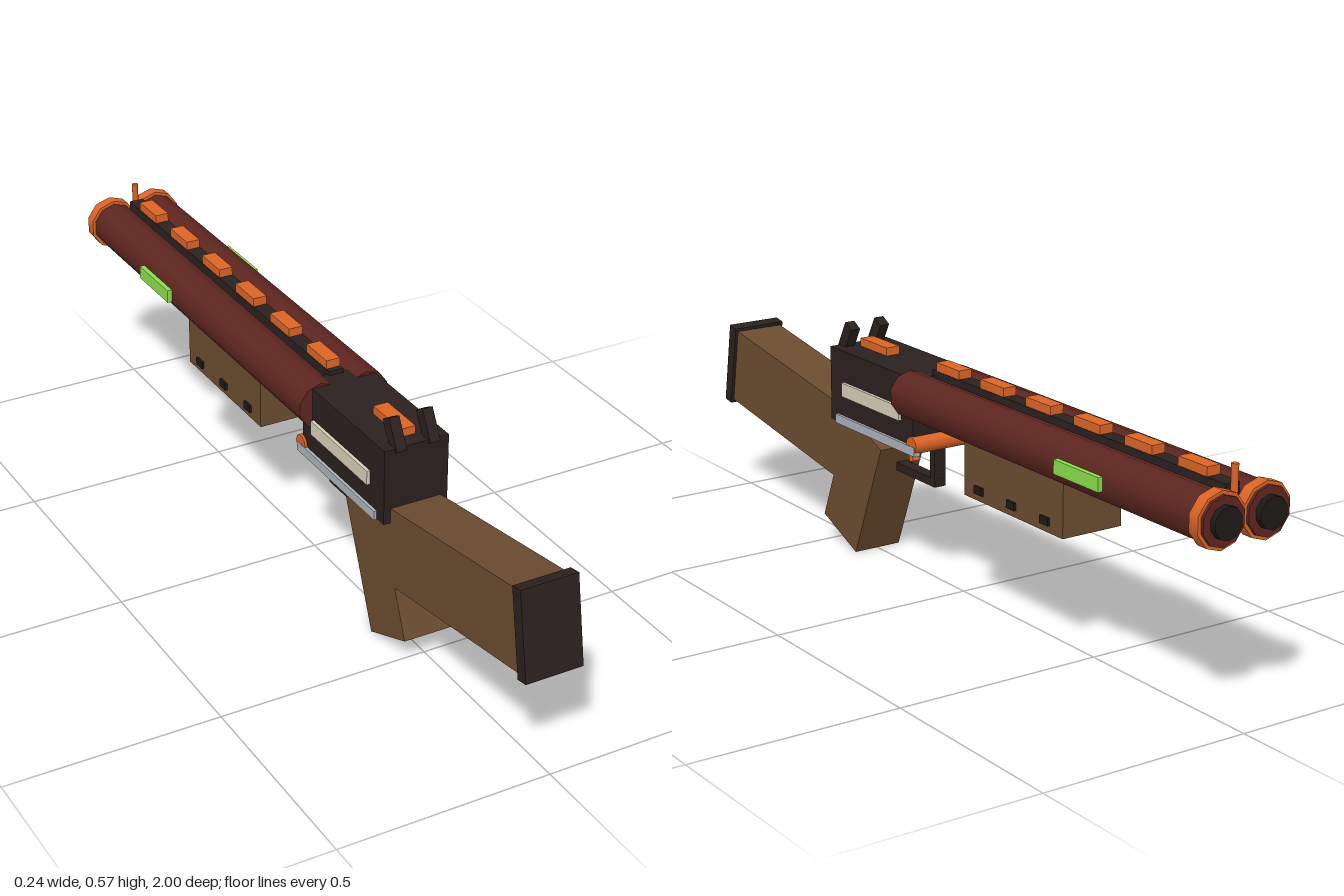
import * as THREE from 'three';

const mat = (color) => new THREE.MeshStandardMaterial({ color });

export function createModel() {
  const root = new THREE.Group();
  const red = mat(0x5e2620), wood = mat(0x6b4c2f), dark = mat(0x2a211f), black = mat(0x1e1917);
  const orange = mat(0xdd6526), green = mat(0x8be04a), cream = mat(0xd8cfba), grey = mat(0xadb3bc);

  const add = (name, geometry, material, x, y, z, tilt = 0) => {
    const mesh = new THREE.Mesh(geometry, material);
    mesh.name = name;
    mesh.position.set(x, y, z);
    mesh.rotation.x = tilt;
    root.add(mesh);
    return mesh;
  };
  const box = (name, m, w, h, d, x, y, z, tilt) =>
    add(name, new THREE.BoxGeometry(w, h, d), m, x, y, z, tilt);
  // Cylinder along z, given by its two end positions
  const tube = (name, m, r, z0, z1, x, y) =>
    add(name, new THREE.CylinderGeometry(r, r, z1 - z0, 10).rotateX(Math.PI / 2), m, x, y, (z0 + z1) / 2);

  // Stock, butt plate and grip
  box('stock', wood, 0.124, 0.19, 0.6, 0, 0.297, 0.657, -0.155);
  box('buttPlate', dark, 0.138, 0.207, 0.03, 0, 0.345, 0.965, -0.17);
  box('grip', wood, 0.124, 0.312, 0.156, 0, 0.175, 0.388, -0.39);

  // Receiver with top insert and hinge pin
  box('receiver', dark, 0.158, 0.18, 0.36, 0, 0.415, 0.27);
  box('topInsert', orange, 0.036, 0.025, 0.117, 0, 0.512, 0.354);
  add('hingePin', new THREE.CylinderGeometry(0.021, 0.021, 0.17, 10).rotateZ(Math.PI / 2), orange, 0, 0.347, 0.09);

  // Mirrored pairs: barrels, side panels and rear sights
  for (const s of [-1, 1]) {
    const x = s * 0.058, y = 0.458;
    tube('barrel', red, 0.055, -0.985, 0.135, x, y);
    tube('muzzleRing', orange, 0.063, -0.978, -0.95, x, y);
    tube('bore', black, 0.036, -1, -0.97, x, y);
    box('sideLight', green, 0.02, 0.032, 0.154, s * 0.112, 0.459, -0.587);
    box('sidePanel', cream, 0.016, 0.034, 0.25, s * 0.079, 0.412, 0.265);
    box('sideRail', grey, 0.016, 0.022, 0.345, s * 0.078, 0.334, 0.248);
    box('rearSight', dark, 0.025, 0.075, 0.03, s * 0.041, 0.526, 0.427, -0.5);
  }

  // Ribs between the barrels, studs and front sight
  box('topRib', dark, 0.036, 0.035, 1.04, 0, 0.498, -0.42);
  box('bottomRib', dark, 0.036, 0.03, 0.95, 0, 0.415, -0.465);
  for (let i = 0; i < 6; i++) box('ribStud', orange, 0.034, 0.022, 0.092, 0, 0.525, 0.04 - i * 0.175);
  add('frontSight', new THREE.CylinderGeometry(0.008, 0.008, 0.06, 8), orange, 0, 0.528, -0.945);

  // Fore-end with vents through both sides
  box('foreEnd', wood, 0.156, 0.137, 0.37, 0, 0.352, -0.302);
  for (let i = 0; i < 3; i++) box('vent', black, 0.168, 0.018, 0.03, 0, 0.309, -0.177 - i * 0.124);

  // Trigger and guard
  box('trigger', orange, 0.02, 0.07, 0.016, 0, 0.3, 0.215, 0.33);
  box('guardBar', dark, 0.03, 0.02, 0.165, 0, 0.241, 0.18);
  box('guardPost', dark, 0.03, 0.1, 0.02, 0, 0.281, 0.108);

  return root;
}
